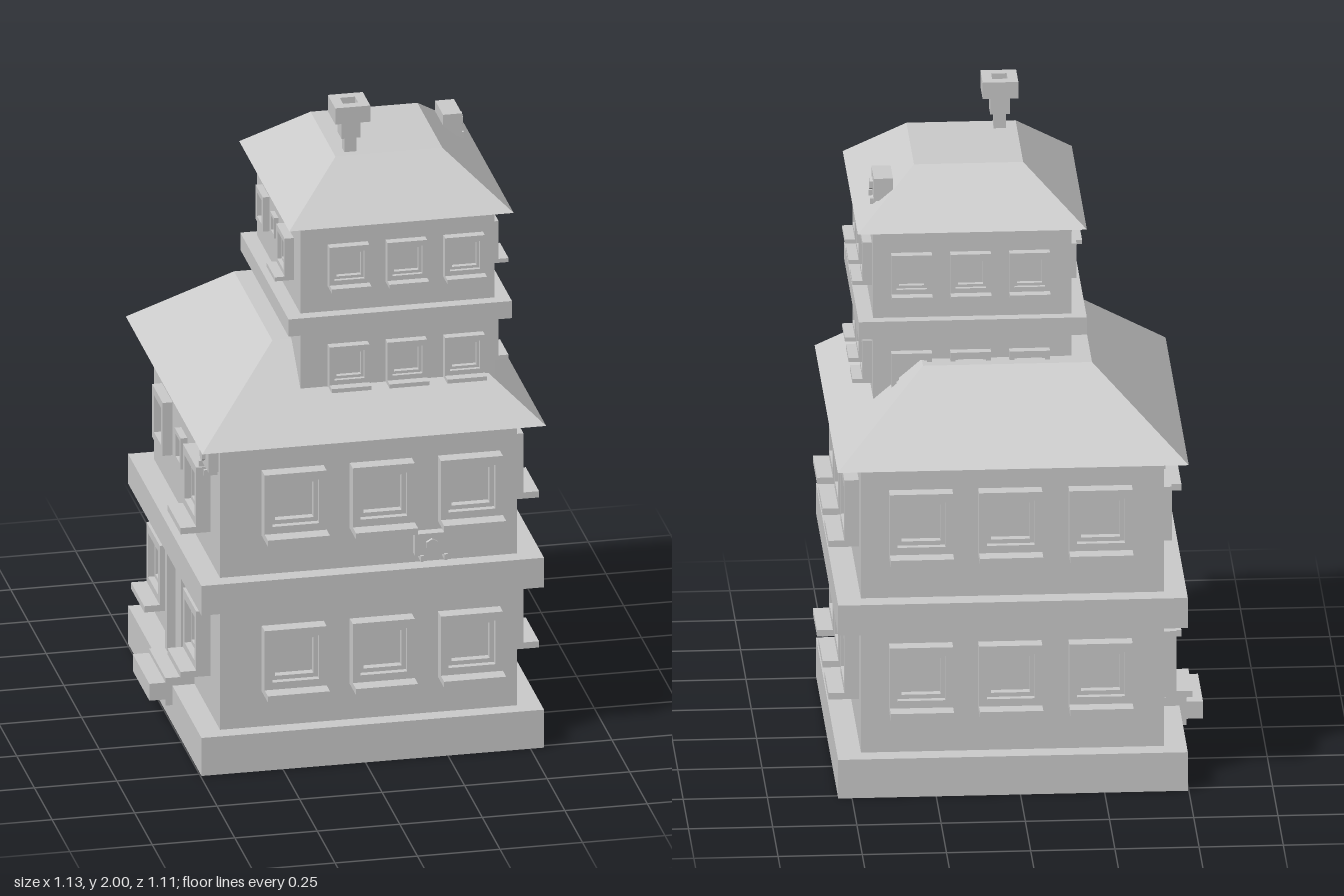
import * as THREE from 'three';

const grey = new THREE.MeshStandardMaterial({ color: 0xcccccc, flatShading: true });

function mesh(name, geometry, parent) {
  const m = new THREE.Mesh(geometry, grey);
  m.name = name;
  parent.add(m);
  return m;
}

// Box given by its minimum and maximum on each axis
function box(name, parent, [x0, x1], [y0, y1], [z0, z1]) {
  const m = mesh(name, new THREE.BoxGeometry(x1 - x0, y1 - y0, z1 - z0), parent);
  m.position.set((x0 + x1) / 2, (y0 + y1) / 2, (z0 + z1) / 2);
  return m;
}

function rect(target, x0, x1, y0, y1) {
  target.moveTo(x0, y0);
  target.lineTo(x1, y0);
  target.lineTo(x1, y1);
  target.lineTo(x0, y1);
  target.closePath();
  return target;
}

// Rectangular ring in the xy plane, extruded along +z
function ring(outer, inner, depth) {
  const shape = rect(new THREE.Shape(), ...outer);
  shape.holes.push(rect(new THREE.Path(), ...inner));
  return new THREE.ExtrudeGeometry(shape, { depth, bevelEnabled: false });
}

// Hipped roof: a box whose top corners are pulled in by an inset
function hipRoof(name, parent, xs, ys, zs, inset) {
  const roof = box(name, parent, xs, ys, zs);
  const p = roof.geometry.attributes.position;
  for (let i = 0; i < p.count; i++) {
    if (p.getY(i) < 0) continue;
    p.setX(i, p.getX(i) - Math.sign(p.getX(i)) * inset);
    p.setZ(i, p.getZ(i) - Math.sign(p.getZ(i)) * inset);
  }
  roof.geometry.computeVertexNormals();
}

// Group on a wall; u runs along the wall in world x or z, local +z points outward
function onWall(name, parent, wall, u, y) {
  const g = new THREE.Group();
  g.name = name;
  g.rotation.y = wall.turn;
  if (wall.axis === 'z') g.position.set(u, y, wall.at);
  else g.position.set(wall.at, y, u);
  parent.add(g);
  return g;
}

function walls([x0, x1], [z0, z1]) {
  return {
    front: { axis: 'z', at: z1, turn: 0 },
    back: { axis: 'z', at: z0, turn: Math.PI },
    left: { axis: 'x', at: x1, turn: Math.PI / 2 },
    right: { axis: 'x', at: x0, turn: -Math.PI / 2 },
  };
}

// Window with its origin at the bottom centre of the sill
function addWindow(parent, wall, u, y, scale = 1) {
  const g = onWall('window', parent, wall, u, y);
  mesh('windowFrame', ring([-0.094, 0.094, 0.02, 0.21], [-0.071, 0.071, 0.043, 0.183], 0.043), g);
  mesh('windowSash', ring([-0.071, 0.071, 0.043, 0.183], [-0.058, 0.058, 0.056, 0.17], 0.024), g);
  box('windowSill', g, [-0.094, 0.094], [0, 0.02], [0, 0.09]);
  g.scale.setScalar(scale);
}

// Window without a sill, w by h
function addSmallWindow(parent, wall, u, y, w, h, depth) {
  const g = onWall('smallWindow', parent, wall, u, y);
  const b = w * 0.17;
  mesh('smallWindowFrame', ring([-w / 2, w / 2, 0, h], [-w / 2 + b, w / 2 - b, b, h - b], depth), g);
}

// Air conditioner: casing, six-sided fan guard and two brackets
function addCooler(parent, wall, u, y) {
  const g = onWall('airConditioner', parent, wall, u, y);
  box('coolerCasing', g, [-0.056, 0.056], [0.015, 0.085], [0, 0.03]);
  const fan = mesh('coolerFan', new THREE.CylinderGeometry(0.02, 0.02, 0.012, 6), g);
  fan.rotation.x = Math.PI / 2;
  fan.position.set(-0.006, 0.05, 0.034);
  for (const x of [-0.036, 0.036]) {
    box('coolerBracket', g, [x - 0.005, x + 0.005], [0, 0.018], [0, 0.04]);
  }
}

export function createModel() {
  const model = new THREE.Group();
  model.name = 'house';

  // Lower storeys
  const lower = new THREE.Group();
  lower.name = 'lowerHouse';
  model.add(lower);
  const lx = [-0.43, 0.47], lz = [-0.465, 0.465];
  box('lowerWalls', lower, lx, [0.05, 1.05], lz);
  box('base', lower, [-0.497, 0.541], [0, 0.122], [-0.523, 0.515]);
  box('lowerLedge', lower, [-0.497, 0.541], [0.515, 0.61], [-0.523, 0.515]);
  hipRoof('lowerRoof', lower, [-0.498, 0.544], [1.04, 1.272], [-0.55, 0.532], 0.27);

  // Upper storeys
  const upper = new THREE.Group();
  upper.name = 'upperHouse';
  model.add(upper);
  const ux = [-0.17, 0.418], uz = [-0.222, 0.388];
  box('upperWalls', upper, ux, [1.15, 1.7], uz);
  box('upperLedge', upper, [-0.214, 0.463], [1.35, 1.405], [-0.256, 0.426]);
  hipRoof('upperRoof', upper, [-0.213, 0.467], [1.69, 1.842], [-0.277, 0.432], 0.178);

  // Rows of three windows on front, back and left walls
  const lowerWall = walls(lx, lz), upperWall = walls(ux, uz);
  const rows = [
    ['front', [-0.21, 0.057, 0.324], [-0.027, 0.148, 0.323], [0.235, 0.735], [1.165, 1.485]],
    ['back', [-0.24, 0.028, 0.293], [-0.045, 0.13, 0.305], [0.255, 0.74], [1.165, 1.475]],
    ['left', [-0.272, 0, 0.262], [-0.095, 0.083, 0.258], [0.255, 0.737], [1.175, 1.485]],
  ];
  for (const [side, us, vs, ys, ws] of rows) {
    for (const y of ys) for (const u of us) addWindow(lower, lowerWall[side], u, y);
    for (const y of ws) for (const v of vs) addWindow(upper, upperWall[side], v, y, 0.64);
  }

  // Right wall: windows beside the door and a mixed upper row
  for (const z of [-0.28, 0.235]) addWindow(lower, lowerWall.right, z, 0.24);
  addWindow(lower, lowerWall.right, 0.235, 0.702);
  addSmallWindow(lower, lowerWall.right, -0.28, 0.73, 0.15, 0.17, 0.03);
  addSmallWindow(lower, lowerWall.right, -0.04, 0.77, 0.085, 0.1, 0.02);
  addWindow(upper, upperWall.right, 0.235, 1.475, 0.64);
  addSmallWindow(upper, upperWall.right, -0.1, 1.49, 0.1, 0.11, 0.02);
  addSmallWindow(upper, upperWall.right, 0.05, 1.52, 0.055, 0.065, 0.013);

  // Door with frame and steps
  const door = onWall('door', lower, lowerWall.right, -0.012, 0.12);
  mesh('doorFrame', ring([-0.115, 0.115, 0, 0.395], [-0.085, 0.085, 0.01, 0.36], 0.04), door);
  box('doorPanel', door, [-0.085, 0.085], [0, 0.36], [0, 0.015]);
  box('doorKnob', door, [0.055, 0.07], [0.16, 0.175], [0.015, 0.03]);
  box('doorLanding', door, [-0.117, 0.117], [-0.06, 0.028], [0, 0.088]);
  box('doorStep', door, [-0.117, 0.117], [-0.04, 0.014], [0.08, 0.137]);

  // Air conditioners on the walls and on the upper roof
  addCooler(lower, lowerWall.front, 0.211, 0.625);
  addCooler(lower, lowerWall.right, 0.385, 0.925);
  addCooler(upper, { axis: 'x', at: 0.382, turn: Math.PI / 2 }, -0.1, 1.735);
  box('roofCoolerBack', upper, [0.355, 0.385], [1.75, 1.82], [-0.156, -0.044]);

  // Stepped chimney with a square flue
  const chimney = new THREE.Group();
  chimney.name = 'chimney';
  chimney.position.set(0.016, 0, 0.208);
  model.add(chimney);
  for (const [r, y0, y1] of [[0.018, 1.8, 1.89], [0.029, 1.89, 1.955]]) {
    box('chimneyStack', chimney, [-r, r], [y0, y1], [-r, r]);
  }
  const cap = mesh('chimneyCap', ring([-0.053, 0.053, -0.053, 0.053], [-0.023, 0.023, -0.023, 0.023], 0.052), chimney);
  cap.rotation.x = -Math.PI / 2;
  cap.position.y = 1.948;

  return model;
}
